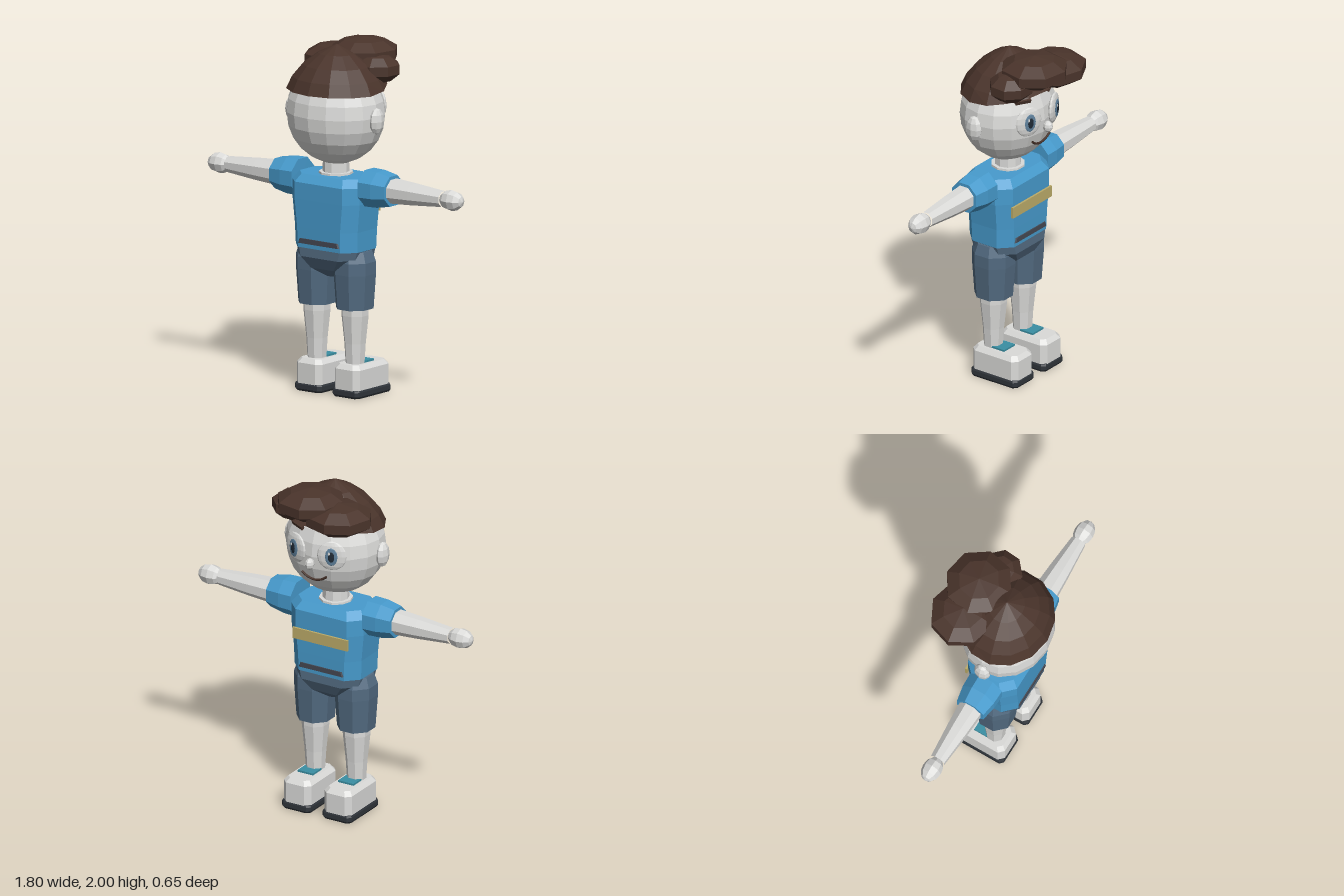
import * as THREE from 'three';

const mat = (name, color, side = THREE.FrontSide) => {
  const m = new THREE.MeshStandardMaterial({ color, side });
  m.name = name;
  return m;
};

// Faceted normals for the low-poly look
const facet = (g) => {
  const f = g.index ? g.toNonIndexed() : g;
  f.computeVertexNormals();
  return f;
};

// Capped loft of chamfered rectangles; rings are [y, halfX, halfZ, chamfer], bottom to top
function loft(rings) {
  const pos = [], idx = [];
  for (const [y, a, b, c] of rings) {
    const d = Math.min(c, a * 0.9, b * 0.9);
    for (const [x, z] of [[a, -b + d], [a, b - d], [a - d, b], [-a + d, b],
      [-a, b - d], [-a, -b + d], [-a + d, -b], [a - d, -b]]) pos.push(x, y, z);
  }
  const top = (rings.length - 1) * 8;
  for (let j = 0; j < top; j += 8) {
    for (let i = 0; i < 8; i++) {
      const a = j + i, b = j + (i + 1) % 8;
      idx.push(a, a + 8, b, b, a + 8, b + 8);
    }
  }
  for (let i = 1; i < 7; i++) idx.push(0, i, i + 1, top, top + i + 1, top + i);
  const g = new THREE.BufferGeometry();
  g.setAttribute('position', new THREE.Float32BufferAttribute(pos, 3));
  g.setIndex(idx);
  return facet(g);
}

// Turned profile of [radius, y], bottom to top
const turned = (pts, sides = 8) => facet(new THREE.LatheGeometry(
  pts.map(([r, y]) => new THREE.Vector2(r, y)), sides, Math.PI / sides));

const ball = (rx, ry, rz, w = 8, h = 6) => facet(new THREE.SphereGeometry(1, w, h).scale(rx, ry, rz));

export function createModel() {
  const model = new THREE.Group();
  model.name = 'boy';
  const skin = mat('skin', 0xdadad8);
  const shirt = mat('shirtBlue', 0x479bcd, THREE.DoubleSide);
  const shorts = mat('shortsBlue', 0x526a80, THREE.DoubleSide);
  const hair = mat('hairBrown', 0x4a342b, THREE.DoubleSide);
  const sole = mat('soleDark', 0x30353b);
  const band = mat('bandGrey', 0x454852);
  const yellow = mat('chestYellow', 0xbbab69);
  const iris = mat('irisBlue', 0x5f819c);
  const dark = mat('pupilDark', 0x1f2a35);
  const teal = mat('tongueTeal', 0x3a8fa3);
  const Z = 0.07; // the body's middle plane; the face looks towards -z

  const add = (name, geo, material, x = 0, y = 0, z = Z, parent = model) => {
    const m = new THREE.Mesh(geo, material);
    m.name = name;
    m.position.set(x, y, z);
    parent.add(m);
    return m;
  };

  // Head and neck
  const headY = 1.6, RX = 0.293, RY = 0.293, RZ = 0.257;
  const faceZ = (x, y) => Z - RZ * Math.sqrt(1 - (x / RX) ** 2 - ((y - headY) / RY) ** 2);
  add('head', ball(RX, RY, RZ, 16, 12), skin, 0, headY);
  add('neck', turned([[0.078, 1.2], [0.072, 1.36]], 10), skin);
  add('neckBase', turned([[0.098, 1.22], [0.096, 1.262], [0, 1.264]], 10), skin);
  add('nose', ball(0.027, 0.034, 0.03), skin, 0, 1.565, -0.208);

  // Smile
  const smile = [-0.08, -0.045, 0, 0.045, 0.08].map((x) => {
    const y = 1.45 + 5.5 * x * x;
    return new THREE.Vector3(x, y, faceZ(x, y) - 0.005);
  });
  add('mouth', new THREE.TubeGeometry(new THREE.CatmullRomCurve3(smile), 12, 0.007, 5), hair, 0, 0, 0);

  for (const s of [-1, 1]) {
    const side = s > 0 ? 'left' : 'right';
    add(side + 'Ear', ball(0.036, 0.075, 0.05), skin, s * 0.298, 1.585, 0.082);

    // Eye, layered outwards from the face
    const eye = new THREE.Group();
    eye.name = side + 'Eye';
    eye.position.set(s * 0.117, 1.625, faceZ(0.117, 1.625) + 0.003);
    eye.rotation.y = -s * 0.36;
    model.add(eye);
    add('eyeWhite', ball(0.085, 0.088, 0.02, 16, 8), skin, 0, 0, 0, eye);
    add('iris', ball(0.036, 0.054, 0.006, 12, 6), iris, 0, 0, -0.019, eye);
    add('pupil', ball(0.019, 0.032, 0.004, 10, 6), dark, 0, 0, -0.0235, eye);
    add('eyeGlint', ball(0.007, 0.01, 0.003, 6, 4), skin, 0.012, 0.02, -0.026, eye);

    // Eyebrow
    const brow = add(side + 'Eyebrow', new THREE.BoxGeometry(0.095, 0.022, 0.02), hair,
      s * 0.125, 1.745, faceZ(0.125, 1.745) - 0.004);
    brow.rotation.set(-0.4, -s * 0.42, -s * 0.12);

    // Sleeve, arm and hand, turned along the x axis
    const along = (pts) => turned(pts).rotateZ(-s * Math.PI / 2);
    add(side + 'Sleeve', along([[0.112, 0.235], [0.109, 0.32], [0.092, 0.408], [0.072, 0.408]]),
      shirt, 0, 1.2);
    add(side + 'SleeveCap', along([[0.001, 0.234], [0.112, 0.235]].reverse()), shirt, 0, 1.2);
    add(side + 'Arm', along([[0.076, 0.36], [0.064, 0.55], [0.046, 0.76]]), skin, 0, 1.2);
    add(side + 'Hand', ball(0.06, 0.078, 0.057).rotateZ(s * Math.PI / 2), skin, s * 0.82, 1.2);

    // Shorts leg
    add(side + 'ShortsLeg', turned([[0.08, 0.505], [0.108, 0.5], [0.122, 0.7], [0.122, 0.77],
      [0.1, 0.83], [0, 0.835]]).scale(1, 1, 1.04), shorts, s * 0.133);

    // Leg and shoe
    add(side + 'Leg', turned([[0.054, 0.17], [0.062, 0.3], [0.079, 0.46], [0.079, 0.56]]), skin, s * 0.135);
    add(side + 'Shoe', loft([[0.04, 0.09, 0.158, 0.03], [0.16, 0.09, 0.158, 0.03],
      [0.186, 0.07, 0.138, 0.025]]), skin, s * 0.133, 0, 0.008);
    add(side + 'Sole', loft([[0, 0.088, 0.154, 0.02], [0.012, 0.095, 0.161, 0.02],
      [0.036, 0.095, 0.161, 0.02], [0.046, 0.09, 0.157, 0.02]]), sole, s * 0.133, 0, 0.008);
    add(side + 'ShoeTongue', new THREE.BoxGeometry(0.1, 0.014, 0.09), teal, s * 0.133, 0.19, 0.005);
  }

  // Torso with waist bands and chest plate
  add('shirtBody', loft([[0.835, 0.218, 0.155, 0.07], [0.95, 0.222, 0.158, 0.07],
    [1.11, 0.238, 0.16, 0.07], [1.205, 0.238, 0.16, 0.07], [1.25, 0.205, 0.125, 0.06]]), shirt);
  for (const s of [-1, 1]) {
    add(s > 0 ? 'backBand' : 'frontBand', loft([[0.86, 0.155, 0.019, 0.016],
      [0.888, 0.145, 0.019, 0.016]]), band, 0, 0, Z + s * 0.144);
  }
  add('chestPlate', new THREE.BoxGeometry(0.36, 0.065, 0.014), yellow, 0, 1.063, -0.095);

  // Pelvis
  add('shortsSeat', loft([[0.67, 0.04, 0.06, 0.025], [0.72, 0.14, 0.125, 0.06],
    [0.785, 0.2, 0.155, 0.07], [0.84, 0.215, 0.152, 0.07]]), shorts);

  // Hair cap, its rim rising towards the forehead
  const cap = new THREE.LatheGeometry([[0.2, 1.735], [0.268, 1.73], [0.237, 1.8], [0.182, 1.87],
    [0.1, 1.935], [0, 1.985]].map(([r, y]) => new THREE.Vector2(r, y)), 14);
  const p = cap.attributes.position;
  for (let i = 0; i < p.count; i++) {
    if (p.getY(i) < 1.75 && p.getZ(i) < 0) p.setY(i, p.getY(i) - p.getZ(i) * 0.2);
  }
  add('hairCap', facet(cap.scale(1.1, 1, 0.985)), hair, 0, 0, 0.063);

  // Tufts over the forehead: centre, radii and turn
  const tufts = [
    [0.035, 1.91, -0.14, 0.205, 0.09, 0.2, 0.2],
    [-0.145, 1.855, -0.135, 0.205, 0.09, 0.195, 0.1],
    [0.17, 1.845, -0.08, 0.142, 0.085, 0.13, 0.35],
  ];
  tufts.forEach(([x, y, z, a, b, c, turn], i) => {
    add('hairTuft' + (i + 1), ball(a, b, c, 8, 5).rotateY(turn), hair, x, y, z);
  });
  return model;
}
